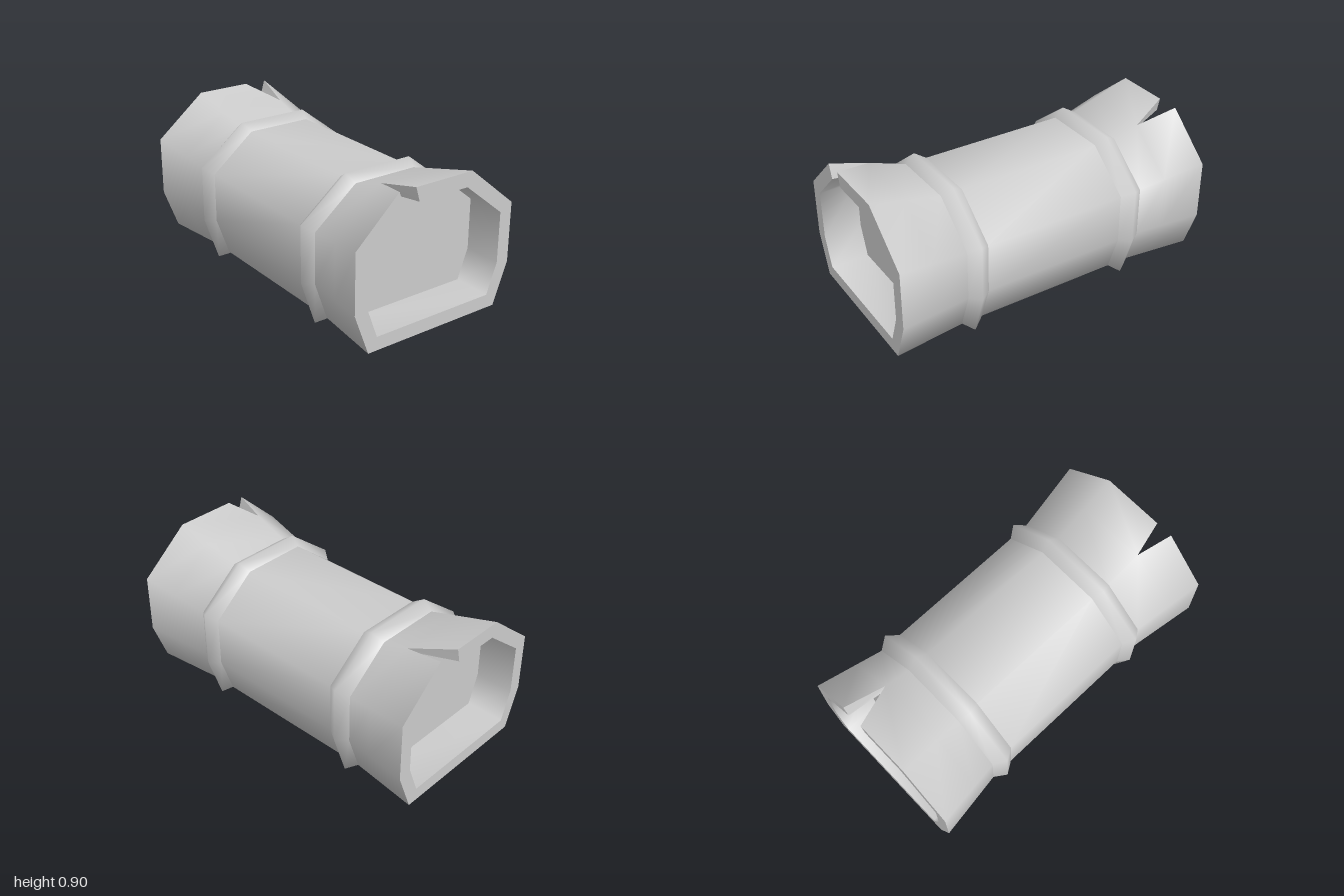
import * as THREE from 'three';
import { mergeVertices } from 'three/addons/utils/BufferGeometryUtils.js';

const material = new THREE.MeshStandardMaterial({ color: 0xcccccc });
const thinMaterial = new THREE.MeshStandardMaterial({ color: 0xcccccc, side: THREE.DoubleSide });

// Skin between rows of [x, y, z] points, smooth within one piece
function loft(name, rows, mat = material) {
  const n = rows[0].length, index = [];
  for (let i = 0; i < rows.length - 1; i++) {
    for (let j = 0; j < n - 1; j++) {
      const a = i * n + j, c = a + n;
      index.push(a, a + 1, c, a + 1, c + 1, c);
    }
  }
  let geo = new THREE.BufferGeometry();
  geo.setAttribute('position', new THREE.Float32BufferAttribute(rows.flat(2), 3));
  geo.setIndex(index);
  geo = mergeVertices(geo, 1e-4);
  geo.computeVertexNormals();
  const mesh = new THREE.Mesh(geo, mat);
  mesh.name = name;
  return mesh;
}

// Flat-bottomed octagon as four [z, y] corners from top to bottom
const BODY = [[0.2, 0.795], [0.465, 0.58], [0.465, 0.28], [0.386, 0.05]];
const RIDGE = [[0.22, 0.835], [0.51, 0.61], [0.51, 0.27], [0.42, 0]];
const MOUTH = [[0.225, 0.905], [0.53, 0.655], [0.53, 0.3], [0.44, 0.055]];
const BORE = [[0.195, 0.82], [0.45, 0.615], [0.45, 0.315], [0.385, 0.135]];

const mix = (p, q, t) => p.map((c, i) => c.map((v, k) => v + (q[i][k] - v) * t));

// Full section at x; the top +z corner is the seam and may be split into first and last
function section(x, half, first, last) {
  const ring = [
    ...half.map(([z, y]) => [x, y, z]),
    ...[...half].reverse().map(([z, y]) => [x, y, -z]),
  ];
  ring.push(last || first || ring[0]);
  if (first) ring[0] = first;
  return ring;
}

// Flared, recessed end with a V-shaped crack at one top corner
function flaredEnd({ start, crackX, crackY, outerZ, innerZ }) {
  const end = new THREE.Group();
  const t = (crackX - start) / (1 - start);
  const tip = [crackX, crackY, 0.207];
  const innerTip = [0.77, 0.82, 0.195];
  const outerLips = outerZ.map(z => [1, 0.905, z]);
  const innerLips = innerZ.map(z => [1, 0.82, z]);

  const neck = section(start, BODY);
  const middle = section(crackX, mix(BODY, MOUTH, t), tip);
  const mouth = section(1, MOUTH, ...outerLips);
  const boreMouth = section(1, BORE, ...innerLips);
  const boreEnd = section(0.77, BORE, innerTip);

  end.add(
    loft('flare', [neck, middle, mouth]),
    loft('rim', [mouth, boreMouth]),
    loft('bore', [boreMouth, boreEnd]),
    loft('endWall', [boreEnd, boreEnd.map(() => [0.77, 0.47, 0])]),
  );
  // Broken faces of the crack
  for (const k of [0, 1]) {
    end.add(loft('crackFace', [[outerLips[k], tip], [innerLips[k], innerTip]], thinMaterial));
  }
  return end;
}

export function createModel() {
  const model = new THREE.Group();
  model.name = 'pipe';

  // Straight middle
  model.add(loft('body', [section(-0.45, BODY), section(0.44, BODY)]));

  // Raised bands
  for (const [x0, x1, x2] of [[-0.59, -0.52, -0.45], [0.44, 0.505, 0.57]]) {
    model.add(loft('band', [section(x0, BODY), section(x1, RIDGE), section(x2, BODY)]));
  }

  // Flared ends; the right one is turned half round
  const left = flaredEnd({
    start: 0.57, crackX: 0.79, crackY: 0.87,
    outerZ: [0.262, 0.155], innerZ: [0.235, 0.13],
  });
  left.name = 'leftEnd';
  const right = flaredEnd({
    start: 0.59, crackX: 0.75, crackY: 0.84,
    outerZ: [0.25, 0.11], innerZ: [0.225, 0.09],
  });
  right.name = 'rightEnd';
  right.rotation.y = Math.PI;
  model.add(left, right);

  return model;
}
